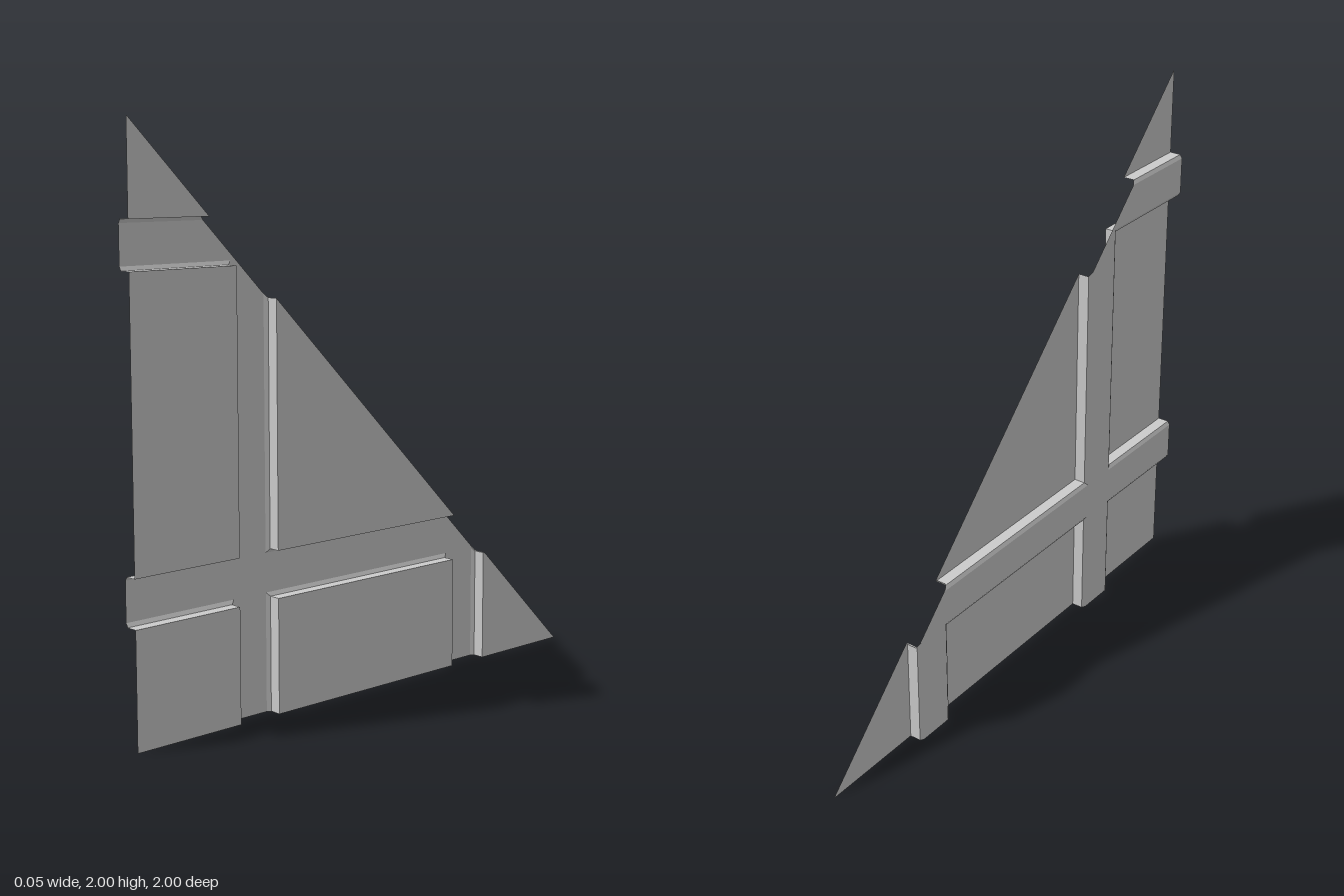
import * as THREE from 'three';

const FRONT = 0.025, STEP = -0.017, BACK = -0.025; // x of panel face, foot of wall, channel floor
const BEVEL = 0.0135;
// Panel extents between the channels
const zSpans = [[-1, -0.591], [-0.429, 0.411], [0.577, 1]];
const ySpans = [[0, 0.402], [0.566, 1.526], [1.686, 2]];

// Cut a polygon along the sloping edge y = 1 + z
function clip(poly) {
  const d = (p) => 1 + p.z - p.y;
  const out = [];
  poly.forEach((a, i) => {
    const b = poly[(i + 1) % poly.length];
    const da = d(a), db = d(b);
    if (da >= 0) out.push(a);
    if (da * db < 0) out.push(a.clone().lerp(b, da / (da - db)));
  });
  return out;
}

// Rectangle corners at depth x, anticlockwise as seen from +x
function corners(x, [z0, z1], [y0, y1]) {
  return [[z1, y0], [z0, y0], [z0, y1], [z1, y1]].map(([z, y]) => new THREE.Vector3(x, y, z));
}

// Widen a span by the bevel, except where it meets the outer border
function widen([a, b], lo, hi) {
  return [a > lo ? a - BEVEL : a, b < hi ? b + BEVEL : b];
}

function addMesh(group, name, polys, material) {
  const pos = [];
  for (const poly of polys) {
    const p = clip(poly);
    for (let i = 1; i + 1 < p.length; i++) {
      for (const v of [p[0], p[i], p[i + 1]]) pos.push(v.x, v.y, v.z);
    }
  }
  if (!pos.length) return;
  const geo = new THREE.BufferGeometry();
  geo.setAttribute('position', new THREE.Float32BufferAttribute(pos, 3));
  geo.computeVertexNormals();
  const mesh = new THREE.Mesh(geo, material);
  mesh.name = name;
  group.add(mesh);
}

export function createModel() {
  const group = new THREE.Group();
  group.name = 'triangularWallPanel';
  const material = new THREE.MeshStandardMaterial({
    color: 0xcccccc, flatShading: true, side: THREE.DoubleSide,
  });

  const zWide = zSpans.map((s) => widen(s, -1, 1));
  const yWide = ySpans.map((s) => widen(s, 0, 2));

  // Raised panels, each with straight walls and a bevelled foot on its inner sides
  zSpans.forEach((zs, i) => ySpans.forEach((ys, j) => {
    const face = corners(FRONT, zs, ys);
    const foot = corners(STEP, zs, ys);
    const rim = corners(BACK, zWide[i], yWide[j]);
    const onBorder = [ys[0] === 0, zs[0] === -1, ys[1] === 2, zs[1] === 1];
    const walls = [], bevels = [];
    for (let k = 0; k < 4; k++) {
      if (onBorder[k]) continue;
      const n = (k + 1) % 4;
      walls.push([foot[k], foot[n], face[n], face[k]]);
      bevels.push([rim[k], rim[n], foot[n], foot[k]]);
    }
    addMesh(group, 'raisedPanel', [face], material);
    addMesh(group, 'panelWalls', walls, material);
    addMesh(group, 'panelBevels', bevels, material);
  }));

  // Channel floors: full-height uprights, and crossbars filling in between them
  const uprights = [], crossbars = [];
  for (let k = 0; k < 2; k++) {
    uprights.push(corners(BACK, [zWide[k][1], zWide[k + 1][0]], [0, 2]));
    for (const zs of zWide) crossbars.push(corners(BACK, zs, [yWide[k][1], yWide[k + 1][0]]));
  }
  addMesh(group, 'uprightChannels', uprights, material);
  addMesh(group, 'crossChannels', crossbars, material);

  return group;
}
